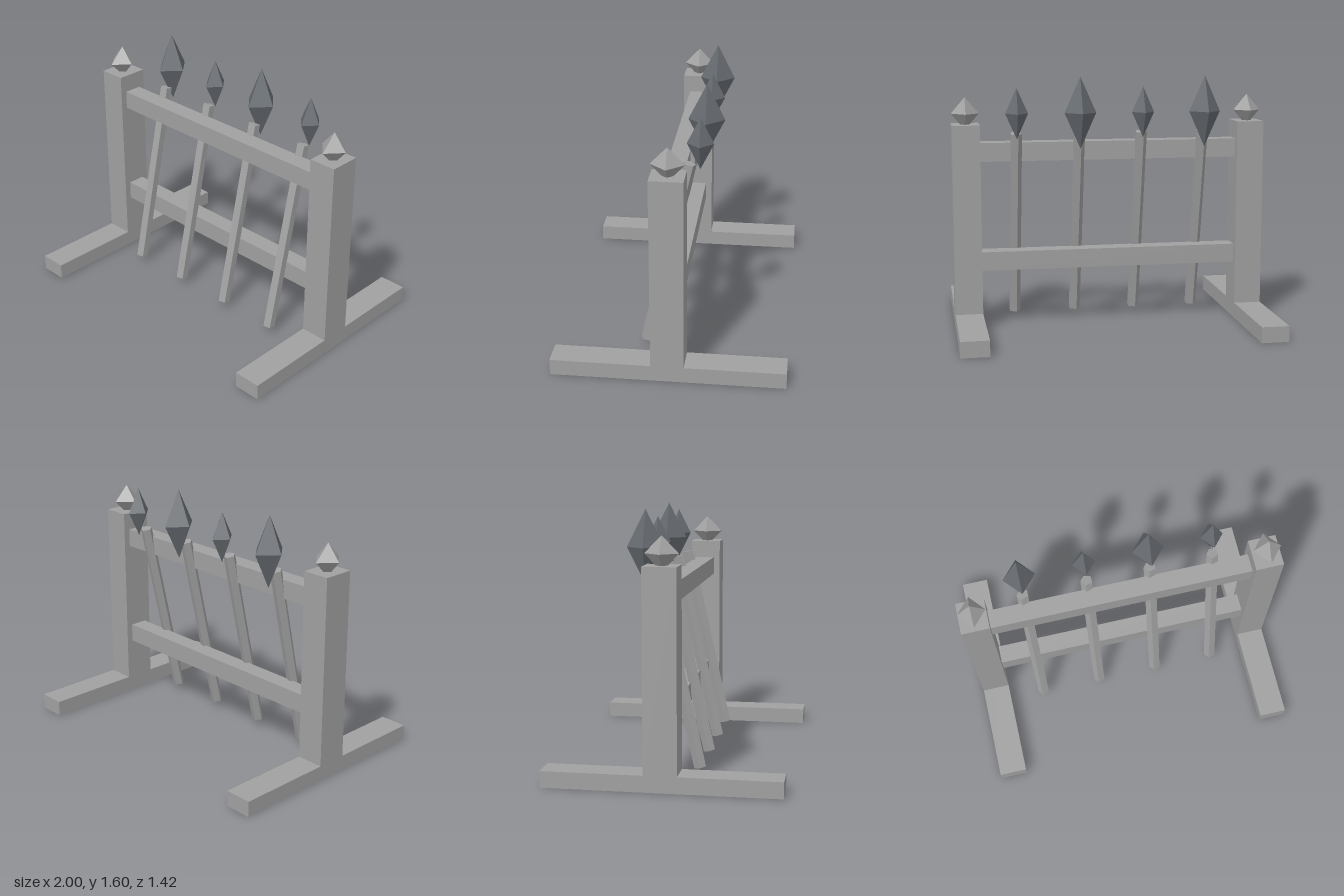
import * as THREE from 'three';

export function createModel() {
  const group = new THREE.Group();
  group.name = 'spikedBarrier';

  const frameGray = new THREE.MeshStandardMaterial({ color: 0xa0a0a0, flatShading: true });
  frameGray.name = 'frameGray';
  const steelGray = new THREE.MeshStandardMaterial({ color: 0x666b70, flatShading: true });
  steelGray.name = 'steelGray';

  const add = (name, geometry, material, x, y, z) => {
    const mesh = new THREE.Mesh(geometry, material);
    mesh.name = name;
    mesh.position.set(x, y, z);
    group.add(mesh);
    return mesh;
  };
  // Four-sided double pyramid with its points on the axes
  const diamond = (rx, ry, rz) => new THREE.OctahedronGeometry(1).scale(rx, ry, rz);

  // End frames: foot, post and finial on each side
  for (const [side, s] of [['left', 1], ['right', -1]]) {
    const x = s * 0.9125;
    add(side + 'Foot', new THREE.BoxGeometry(0.175, 0.1, 1.42), frameGray, x, 0.05, 0);
    add(side + 'Post', new THREE.BoxGeometry(0.175, 1.2, 0.2), frameGray, x, 0.7, 0);
    add(side + 'Finial', diamond(0.087, 0.103, 0.1), frameGray, x, 1.368, 0);
  }

  // Crossbars between the posts
  add('lowerRail', new THREE.BoxGeometry(1.65, 0.12, 0.116), frameGray, 0, 0.43, 0);
  add('upperRail', new THREE.BoxGeometry(1.65, 0.118, 0.116), frameGray, 0, 1.127, 0);

  // Leaning five-sided shafts with upright spearheads, alternating large and small
  const bottom = new THREE.Vector3(0, 0.05, 0.175);
  const top = new THREE.Vector3(0, 1.247, -0.092);
  const middle = bottom.clone().add(top).multiplyScalar(0.5);
  const shaftGeometry = new THREE.CylinderGeometry(0.0385, 0.0385, bottom.distanceTo(top), 5);
  shaftGeometry.rotateY(-Math.PI / 2);
  const lean = Math.atan2(top.z - bottom.z, top.y - bottom.y);
  const largeHead = diamond(0.1, 0.225, 0.113);
  const smallHead = diamond(0.071, 0.16, 0.08);

  for (let i = 0; i < 4; i++) {
    const x = -0.592 + i * 0.398;
    add('shaft' + (i + 1), shaftGeometry, frameGray, x, middle.y, middle.z).rotation.x = lean;
    add('spearhead' + (i + 1), i % 2 ? smallHead : largeHead, steelGray, x, 1.375, -0.154);
  }

  return group;
}
